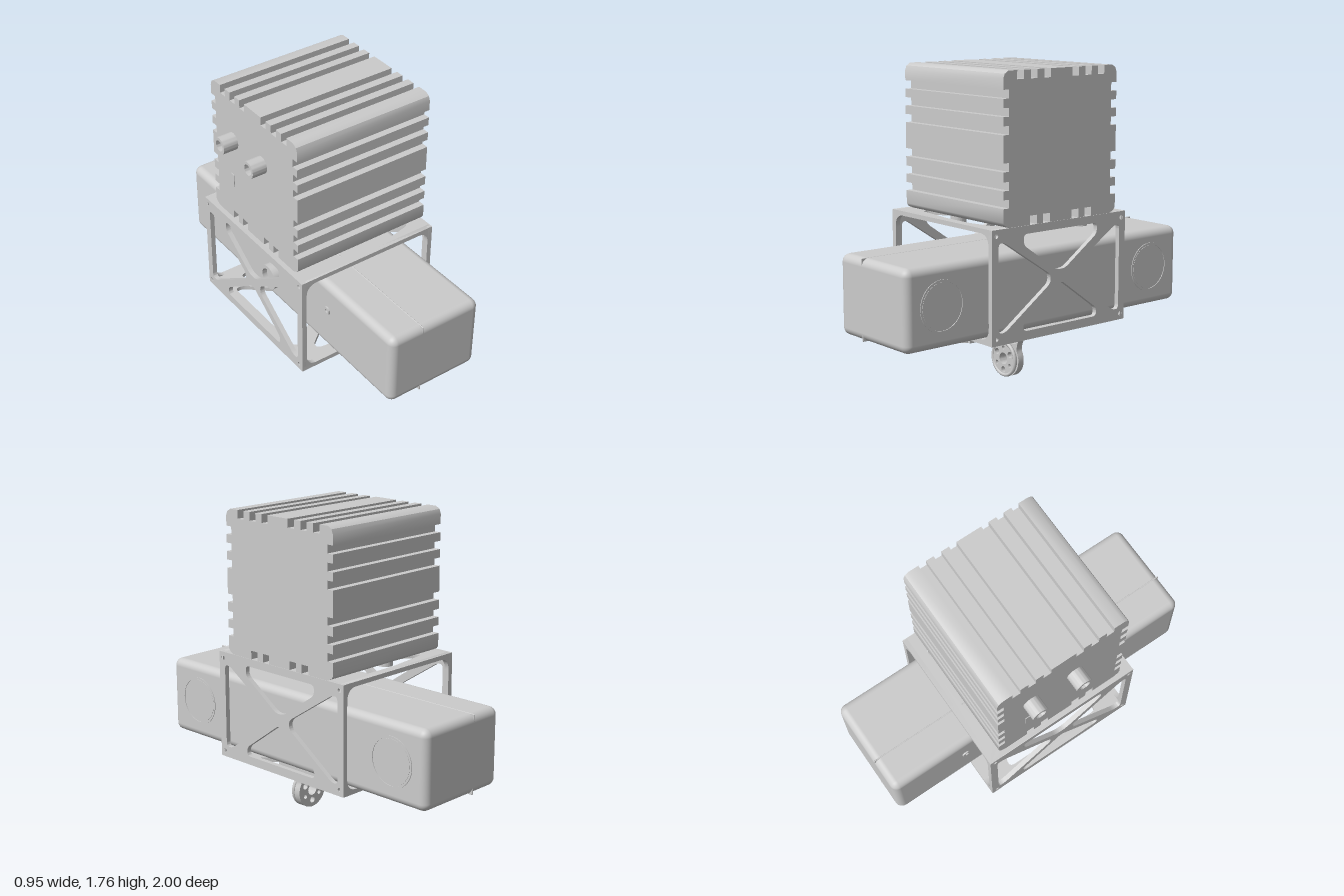
import * as THREE from 'three';
import { RoundedBoxGeometry } from 'three/addons/geometries/RoundedBoxGeometry.js';
import { toCreasedNormals } from 'three/addons/utils/BufferGeometryUtils.js';

const grey = new THREE.MeshStandardMaterial({ color: 0xcccccc });

// Polygon with rounded corners, written into a Shape or Path
function roundPoly(target, pts, r) {
  const v = pts.map(p => new THREE.Vector2(...p));
  v.forEach((p, i) => {
    const a = v[(i + v.length - 1) % v.length], b = v[(i + 1) % v.length];
    const toward = q => p.clone().lerp(q, Math.min(0.45, r / p.distanceTo(q)));
    const s = toward(a), e = toward(b);
    if (i) target.lineTo(s.x, s.y); else target.moveTo(s.x, s.y);
    target.quadraticCurveTo(p.x, p.y, e.x, e.y);
  });
  target.closePath();
  return target;
}
const rect = (x0, y0, x1, y1) => [[x0, y0], [x1, y0], [x1, y1], [x0, y1]];
const hole = (x, y, r) => new THREE.Path().absarc(x, y, r, 0, Math.PI * 2, true);
const cut = (pts, r = 0.03) => roundPoly(new THREE.Path(), pts, r);
const mirrorX = (pts, c = 0) => pts.map(([x, y]) => [2 * c - x, y]);

function extrude(shape, depth) {
  const g = new THREE.ExtrudeGeometry(shape, { depth, bevelEnabled: false, curveSegments: 10 });
  return toCreasedNormals(g, 0.6);
}

export function createModel() {
  const model = new THREE.Group();
  const add = (name, geo, x = 0, y = 0, z = 0, parent = model) => {
    const m = new THREE.Mesh(geo, grey);
    m.name = name;
    m.position.set(x, y, z);
    parent.add(m);
    return m;
  };
  const box = (name, w, h, d, x, y, z) => add(name, new THREE.BoxGeometry(w, h, d), x, y, z);
  const cyl = (name, r, h, axis, x, y, z) => {
    const g = new THREE.CylinderGeometry(r, r, h, 32);
    if (axis === 'x') g.rotateZ(Math.PI / 2);
    if (axis === 'z') g.rotateX(Math.PI / 2);
    return add(name, g, x, y, z);
  };
  // Ring of rectangular section, axis along x or y
  const tube = (name, ro, ri, h, axis, x, y, z) => {
    const s = new THREE.Shape().absarc(0, 0, ro, 0, Math.PI * 2);
    s.holes.push(hole(0, 0, ri));
    const g = new THREE.ExtrudeGeometry(s, { depth: h, bevelEnabled: false, curveSegments: 24 });
    g.translate(0, 0, -h / 2);
    if (axis === 'x') g.rotateY(Math.PI / 2); else g.rotateX(Math.PI / 2);
    return add(name, toCreasedNormals(g, 0.6), x, y, z);
  };

  // Finned heat sink: half profile with grooves, mirrored, extruded along x
  const half = [];
  for (const a of [0.08, 0.175]) half.push([a, 0.935], [a, 0.985], [a + 0.05, 0.985], [a + 0.05, 0.935]);
  half.push([0.37, 0.935], [0.4, 0.95], [0.41, 0.965]);
  for (const a of [1.04, 1.135, 1.235, 1.43, 1.525, 1.62])
    half.push([0.41, a], [0.37, a], [0.37, a + 0.047], [0.41, a + 0.047]);
  half.push([0.41, 1.725], [0.4, 1.75], [0.375, 1.765]);
  for (const a of [0.315, 0.22, 0.125])
    half.push([a, 1.765], [a, 1.717], [a - 0.047, 1.717], [a - 0.047, 1.765]);
  const profile = [...half, ...mirrorX(half).reverse()].map(p => new THREE.Vector2(...p));
  add('heatSink', extrude(new THREE.Shape(profile), 0.86).rotateY(Math.PI / 2), -0.39);
  box('sinkSlot', 0.006, 0.08, 0.035, -0.391, 1.2, -0.22);

  // Cable connectors on the sink
  for (const z of [-0.2, 0.08]) {
    tube('connector', 0.05, 0.032, 0.09, 'x', -0.435, 1.47, z);
    cyl('connectorPin', 0.012, 0.06, 'x', -0.42, 1.47, z);
  }

  // Truss side plates
  const side = roundPoly(new THREE.Shape(), rect(-0.49, 0.305, 0.49, 0.935), 0.005);
  const sideGap = [[0.445, 0.37], [0.445, 0.86], [0.405, 0.86], [0.075, 0.645], [0.075, 0.595], [0.4, 0.37]];
  side.holes.push(
    cut(sideGap), cut(mirrorX(sideGap)),
    cut([[-0.27, 0.89], [-0.27, 0.83], [-0.03, 0.665], [0.03, 0.665], [0.27, 0.83], [0.27, 0.89]]),
    cut([[-0.27, 0.355], [0.27, 0.355], [0.27, 0.405], [0, 0.6], [-0.27, 0.405]]));
  for (const z of [-0.46, 0.46]) for (const y of [0.34, 0.9]) side.holes.push(hole(z, y, 0.013));
  for (const x of [-0.42, 0.445])
    add('sidePlate', extrude(side, 0.028).rotateY(Math.PI / 2), x);

  // Front and back portal frames
  const portal = roundPoly(new THREE.Shape(), rect(-0.418, 0.305, 0.471, 0.935), 0.005);
  portal.holes.push(cut(rect(-0.39, 0.33, 0.445, 0.91), 0.075));
  for (const z of [-0.49, 0.462]) add('portalFrame', extrude(portal, 0.028), 0, 0, z);

  // Top and bottom plates with triangular openings
  const plate = roundPoly(new THREE.Shape(), rect(-0.418, -0.49, 0.471, 0.49), 0.005);
  const endGap = [[-0.25, 0.4], [0.02, 0.435], [0.21, 0.435], [0.37, 0.4], [0.37, 0.34], [0.15, 0.12], [0.05, 0.12], [-0.25, 0.36]];
  const flip = pts => pts.map(([x, z]) => [x, -z]);
  plate.holes.push(
    cut(endGap), cut(flip(endGap)),
    cut([[-0.35, -0.31], [-0.35, 0.31], [-0.3, 0.31], [-0.02, 0.06], [-0.02, -0.06], [-0.3, -0.31]]),
    cut([[0.41, -0.25], [0.41, 0.25], [0.22, 0.06], [0.22, -0.06]]));
  add('topPlate', extrude(plate, 0.026).rotateX(Math.PI / 2), 0, 0.935);
  add('bottomPlate', extrude(plate, 0.026).rotateX(Math.PI / 2), 0, 0.331);

  // Bolt heads under the top plate
  for (const x of [-0.14, 0.37]) for (const z of [-0.23, 0.23])
    tube('bolt', 0.045, 0.02, 0.045, 'y', x, 0.89, z);

  // Long rounded sensor housing with a seam
  add('housing', new RoundedBoxGeometry(0.6, 0.45, 2, 5, 0.045), 0.1, 0.555, 0);
  add('housingSeam', new RoundedBoxGeometry(0.008, 0.454, 1.999, 4, 0.04), 0.008, 0.555, 0);
  for (const z of [-0.765, 0.765]) {
    tube('windowRing', 0.143, 0.132, 0.008, 'x', 0.4, 0.56, z);
    cyl('window', 0.128, 0.004, 'x', 0.4, 0.56, z);
  }

  // Socket and screws on the housing's rear face
  tube('socket', 0.077, 0.055, 0.08, 'x', -0.24, 0.555, -0.06);
  cyl('socketCore', 0.055, 0.05, 'x', -0.225, 0.555, -0.06);
  for (const z of [-0.52, 0.42]) tube('housingScrew', 0.025, 0.012, 0.012, 'x', -0.203, 0.6, z);

  // Mount rail beneath the frame
  box('mountPlate', 0.35, 0.035, 0.3, 0.145, 0.288, 0.02);
  box('mountRail', 0.13, 0.045, 0.66, 0.145, 0.284, 0.1);
  box('mountRailRear', 0.1, 0.04, 0.3, 0.145, 0.286, -0.25);
  tube('rearKnob', 0.075, 0.03, 0.045, 'y', 0.145, 0.275, -0.42);
  cyl('frontFoot', 0.05, 0.045, 'y', 0.145, 0.285, 0.42);
  for (const z of [-0.16, 0.24]) tube('mountBolt', 0.04, 0.018, 0.035, 'y', 0.145, 0.27, z);

  // Hanging arm with a drilled round hub
  const cx = 0.145, cy = 0.11, arm = new THREE.Shape();
  arm.moveTo(cx - 0.175, 0.3);
  arm.lineTo(cx - 0.175, 0.285);
  arm.quadraticCurveTo(cx - 0.085, 0.24, cx - 0.09, cy + 0.06);
  arm.absarc(cx, cy, 0.105, Math.PI - 0.55, Math.PI * 2 + 0.55, false);
  arm.quadraticCurveTo(cx + 0.085, 0.24, cx + 0.175, 0.285);
  arm.lineTo(cx + 0.175, 0.3);
  const hubHoles = [hole(cx, cy, 0.034)];
  for (let i = 0; i < 6; i++) {
    const a = Math.PI / 6 + i * Math.PI / 3;
    hubHoles.push(hole(cx + 0.064 * Math.cos(a), cy + 0.064 * Math.sin(a), i % 2 ? 0.012 : 0.018));
  }
  arm.holes.push(...hubHoles, hole(cx - 0.064, 0.228, 0.025), hole(cx + 0.064, 0.228, 0.025));
  add('arm', extrude(arm, 0.04), 0, 0, 0.075);
  const hub = new THREE.Shape().absarc(cx, cy, 0.095, 0, Math.PI * 2);
  hub.holes.push(...hubHoles);
  add('hub', extrude(hub, 0.025), 0, 0, 0.112);
  add('hubRim', new THREE.TorusGeometry(0.095, 0.011, 8, 40), cx, cy, 0.132);
  return model;
}
